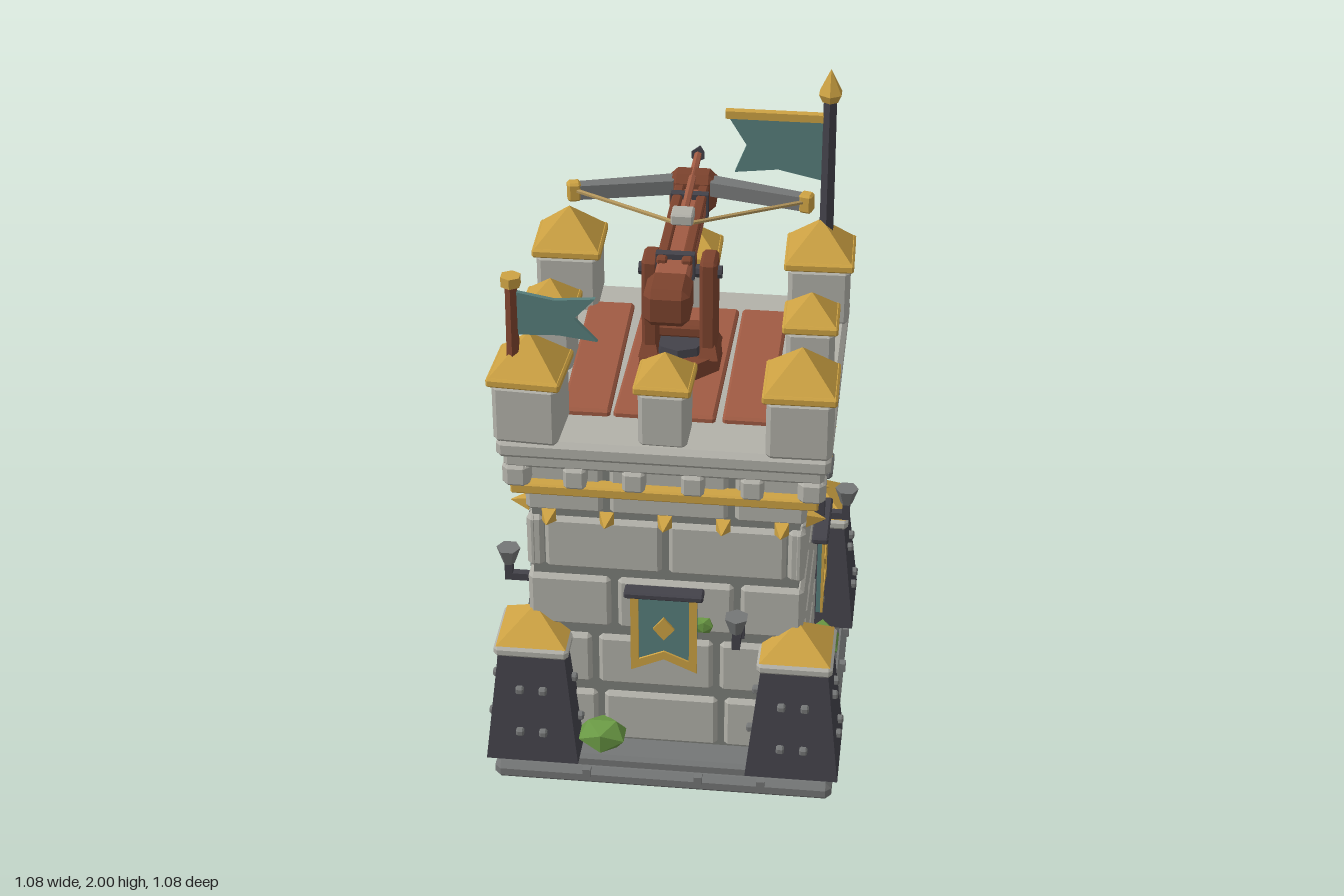
import * as THREE from 'three';
import { ConvexGeometry } from 'three/addons/geometries/ConvexGeometry.js';

const material = (name, color) => Object.assign(new THREE.MeshStandardMaterial({ color }), { name });
const M = {
  stone: material('light stone', 0xb2b1a9),
  mortar: material('mortar', 0x7c7f7a),
  grey: material('grey stone', 0x747676),
  iron: material('dark iron', 0x43424a),
  gold: material('gold', 0xcda243),
  teal: material('teal cloth', 0x587f7c),
  plank: material('red plank', 0xa05b43),
  wood: material('dark wood', 0x7d432e),
  moss: material('moss', 0x6b9a45),
  rope: material('rope', 0xb0935a),
};

export function createModel() {
  const root = new THREE.Group();
  root.name = 'siegeTower';

  // Adds a flat-shaded mesh
  function add(parent, name, geo, mat, x = 0, y = 0, z = 0, ry = 0) {
    const g = geo.index ? geo.toNonIndexed() : geo;
    g.computeVertexNormals();
    const m = new THREE.Mesh(g, mat);
    m.name = name;
    m.position.set(x, y, z);
    m.rotation.y = ry;
    parent.add(m);
    return m;
  }
  // Box with chamfered edges
  function cbox(w, h, d, c = 0.01) {
    const p = [];
    for (const sx of [-1, 1]) for (const sy of [-1, 1]) for (const sz of [-1, 1])
      for (const k of [0, 1, 2]) p.push(new THREE.Vector3(
        sx * (w / 2 - (k === 0 ? 0 : c)), sy * (h / 2 - (k === 1 ? 0 : c)), sz * (d / 2 - (k === 2 ? 0 : c))));
    return new ConvexGeometry(p);
  }
  const box = (w, h, d) => new THREE.BoxGeometry(w, h, d);
  const cyl = (rt, rb, h, n = 8) => new THREE.CylinderGeometry(rt, rb, h, n);
  // Square frustum, given its top and bottom widths
  const frustum = (wt, wb, h) => cyl(wt * Math.SQRT1_2, wb * Math.SQRT1_2, h, 4).rotateY(Math.PI / 4);
  // Flat outline extruded by depth along +z
  const plate = (pts, depth) => new THREE.ExtrudeGeometry(
    new THREE.Shape(pts.map(p => new THREE.Vector2(p[0], p[1]))), { depth, bevelEnabled: false });
  // Round rod between two points
  function rod(parent, name, a, b, r, mat, n = 6) {
    const A = new THREE.Vector3(...a), B = new THREE.Vector3(...b);
    const m = add(parent, name, cyl(r, r, A.distanceTo(B), n), mat);
    m.position.copy(A).lerp(B, 0.5);
    m.quaternion.setFromUnitVectors(new THREE.Vector3(0, 1, 0), B.sub(A).normalize());
  }
  const group = (name, parent = root) => {
    const g = new THREE.Group();
    g.name = name;
    parent.add(g);
    return g;
  };

  // Base and tower core
  add(root, 'basePlinth', cbox(1.03, 0.06, 1.03, 0.018), M.grey, 0, 0.03, 0);
  add(root, 'baseStep', cbox(0.98, 0.05, 0.98, 0.012), M.grey, 0, 0.07, 0);
  add(root, 'towerCore', box(0.785, 1.03, 0.785), M.mortar, 0, 0.6, 0);

  // Details repeated on each wall; local +z points outward
  const rows = [[0.19, -0.015], [0.4, -0.03], [0.61, 0.03], [0.815, 0.182], [1.015, 0.01]];
  for (let i = 0; i < 4; i++) {
    const wall = group(['frontWall', 'leftWall', 'backWall', 'rightWall'][i]);
    wall.rotation.y = i * Math.PI / 2;
    for (const [y, off] of rows) for (let k = -2; k <= 2; k++) {
      const a = Math.max(off + k * 0.365 - 0.172, -0.407), b = Math.min(off + k * 0.365 + 0.172, 0.407);
      if (b - a > 0.03) add(wall, 'brick', cbox(b - a, 0.177, 0.05, 0.012), M.stone, (a + b) / 2, y, 0.384);
    }
    add(wall, 'goldBand', cbox(0.89, 0.034, 0.05, 0.005), M.gold, 0, 1.022, 0.42);
    for (const x of [-0.34, -0.17, 0, 0.17, 0.34])
      add(wall, 'goldStud', frustum(0.002, 0.042, 0.055).rotateX(Math.PI / 2), M.gold, x, 0.915, 0.435);
    for (const x of [-0.425, -0.255, -0.085, 0.085, 0.255, 0.425])
      add(wall, 'corbel', cbox(0.065, 0.07, 0.08, 0.01), M.stone, x, 1.075, 0.425);
    for (const x of [-0.23, 0.11, 0.3]) add(wall, 'baseJoint', box(0.025, 0.03, 0.02), M.grey, x, 0.05, 0.512);

    // Wall torch
    const torch = group('torch', wall);
    torch.position.x = 0.22;
    add(torch, 'torchPlate', box(0.035, 0.08, 0.02), M.iron, 0, 0.565, 0.415);
    add(torch, 'torchArm', box(0.024, 0.024, 0.1), M.iron, 0, 0.56, 0.462);
    add(torch, 'torchStem', box(0.024, 0.07, 0.024), M.iron, 0, 0.583, 0.5);
    add(torch, 'torchBowl', cyl(0.037, 0.018, 0.055, 6), M.grey, 0, 0.632, 0.5);

    // Arrow slit
    if (i !== 0) {
      add(wall, 'arrowSlit', box(0.05, 0.18, 0.05), M.iron, 0, 0.785, 0.418);
      add(wall, 'slitHeader', cbox(0.12, 0.035, 0.08, 0.01), M.grey, 0, 0.882, 0.425);
    }
    // Hanging banner
    if (i !== 2) {
      const banner = group('banner', wall);
      add(banner, 'bannerRod', cbox(0.235, 0.022, 0.05, 0.005), M.iron, 0, 0.68, 0.437);
      add(banner, 'bannerCloth', plate([[-0.098, 0.675], [-0.098, 0.405], [0, 0.45], [0.098, 0.405], [0.098, 0.675]], 0.014), M.teal, 0, 0, 0.43);
      for (const s of [-1, 1]) {
        add(banner, 'bannerEdge', box(0.024, 0.25, 0.008), M.gold, s * 0.087, 0.545, 0.447);
        add(banner, 'bannerHem', plate([[s * 0.099, 0.405], [s * 0.099, 0.435], [0, 0.478], [0, 0.45]], 0.008), M.gold, 0, 0, 0.443);
      }
      add(banner, 'bannerDiamond', plate([[0, 0.52], [0.032, 0.56], [0, 0.6], [-0.032, 0.56]], 0.009), M.gold, 0, 0, 0.443);
    } else {
      // Arched door
      const door = group('door', wall), leaf = new THREE.Shape();
      leaf.moveTo(-0.125, 0.09).lineTo(0.125, 0.09).lineTo(0.125, 0.27).absarc(0, 0.27, 0.125, 0, Math.PI);
      add(door, 'doorLeaf', new THREE.ExtrudeGeometry(leaf, { depth: 0.03, bevelEnabled: false, curveSegments: 8 }), M.plank, 0, 0, 0.397);
      for (const y of [0.18, 0.3]) add(door, 'doorStrap', box(0.21, 0.026, 0.012), M.iron, 0, y, 0.43);
      for (const x of [-0.042, 0.042]) add(door, 'doorGroove', box(0.006, 0.27, 0.004), M.wood, x, 0.23, 0.428);
      for (const s of [-1, 1]) for (const y of [0.138, 0.226])
        add(door, 'jambStone', cbox(0.06, 0.085, 0.07, 0.01), M.stone, s * 0.152, y, 0.415);
      for (let k = 0; k < 7; k++) {
        const a = (k + 0.5) * Math.PI / 7;
        add(door, 'archStone', cbox(0.06, 0.068, 0.07, 0.01), M.stone, Math.cos(a) * 0.152, 0.27 + Math.sin(a) * 0.152, 0.415).rotation.z = a;
      }
    }
  }

  // Corner buttresses with rivets and gold caps
  for (const sx of [-1, 1]) for (const sz of [-1, 1]) {
    const b = group('buttress');
    b.position.set(sx * 0.393, 0, sz * 0.393);
    add(b, 'buttressBody', frustum(0.2, 0.28, 0.365), M.iron, 0, 0.278, 0);
    add(b, 'buttressSlab', cbox(0.225, 0.04, 0.225, 0.012), M.stone, 0, 0.475, 0);
    add(b, 'buttressCap', frustum(0.002, 0.21, 0.088), M.gold, 0, 0.536, 0);
    for (let f = 0; f < 4; f++) {
      const side = group('rivets', b);
      side.rotation.y = f * Math.PI / 2;
      for (const [y, z] of [[0.2, 0.133], [0.345, 0.117]]) for (const x of [-0.035, 0.035])
        add(side, 'rivet', cbox(0.024, 0.024, 0.024, 0.005), M.grey, x, y, z);
    }
  }

  // Roof platform and planks
  add(root, 'platformUnderside', cbox(0.92, 0.06, 0.92, 0.012), M.stone, 0, 1.132, 0);
  add(root, 'platform', cbox(0.955, 0.06, 0.955, 0.015), M.stone, 0, 1.172, 0);
  for (const [x, w, r] of [[-0.245, 0.14, 0.015], [-0.008, 0.295, -0.015], [0.225, 0.14, 0]])
    add(root, 'roofPlank', cbox(w, 0.03, 0.645, 0.008), M.plank, x, 1.207, -0.01, r);

  // Merlons with gold roofs
  for (const ix of [-1, 0, 1]) for (const iz of [-1, 0, 1]) {
    if (!ix && !iz) continue;
    const corner = ix && iz, w = corner ? 0.187 : 0.14, top = corner ? 1.385 : 1.375;
    const m = group('merlon');
    m.position.set(ix * 0.385, 0, iz * 0.39);
    m.rotation.y = (ix - iz) * 0.02 + ix * iz * 0.015;
    add(m, 'merlonBlock', cbox(w, top - 1.195, w, 0.014), M.stone, 0, (top + 1.195) / 2, 0);
    add(m, 'merlonEave', cbox(w + 0.024, 0.028, w + 0.024, 0.006), M.gold, 0, top + 0.012, 0);
    add(m, 'merlonRoof', frustum(0.002, w + 0.012, corner ? 0.105 : 0.075), M.gold, 0, top + 0.024 + (corner ? 0.052 : 0.037), 0);
  }

  // Tall flag
  const tall = group('tallFlag');
  tall.position.set(0.4, 0, -0.4);
  add(tall, 'pole', cyl(0.022, 0.024, 0.47, 6), M.iron, 0, 1.675, 0);
  add(tall, 'poleCollar', cyl(0.038, 0.026, 0.025, 6), M.gold, 0, 1.912, 0);
  add(tall, 'poleTip', cyl(0.001, 0.038, 0.075, 6), M.gold, 0, 1.962, 0);
  add(tall, 'flagRod', box(0.3, 0.024, 0.024), M.gold, -0.16, 1.843, 0);
  add(tall, 'flagCloth', plate([[-0.015, 1.835], [-0.3, 1.835], [-0.245, 1.745], [-0.28, 1.655], [-0.15, 1.67], [-0.015, 1.64]], 0.016), M.teal, 0, 0, -0.008);

  // Small flag
  const small = group('smallFlag');
  small.position.set(-0.425, 0, 0.42);
  add(small, 'pole', cyl(0.018, 0.02, 0.25, 6), M.wood, 0, 1.56, 0);
  add(small, 'poleCap', cyl(0.03, 0.03, 0.03, 6), M.gold, 0, 1.693, 0);
  add(small, 'flagCloth', plate([[0.01, 1.66], [0.12, 1.64], [0.235, 1.65], [0.175, 1.585], [0.24, 1.515], [0.13, 1.53], [0.01, 1.525]], 0.014), M.teal, 0, 0, -0.007);

  // Ballista stand
  const bal = group('ballista');
  add(bal, 'turntable', cyl(0.125, 0.13, 0.05).rotateY(Math.PI / 8), M.wood, 0, 1.245, 0);
  add(bal, 'turntableDisc', cyl(0.075, 0.08, 0.03), M.iron, 0, 1.28, 0);
  for (const s of [-1, 1]) {
    add(bal, 'standPost', cbox(0.05, 0.31, 0.1, 0.01), M.wood, s * 0.085, 1.42, 0);
    add(bal, 'standFoot', frustum(0.06, 0.12, 0.05).scale(0.5, 1, 1.2), M.wood, s * 0.088, 1.29, 0);
  }
  add(bal, 'standCrossbar', cbox(0.15, 0.04, 0.05, 0.008), M.wood, 0, 1.33, 0);
  rod(bal, 'axle', [-0.122, 1.525, 0], [0.122, 1.525, 0], 0.02, M.iron, 8);
  add(bal, 'pivotBlock', cbox(0.09, 0.09, 0.08, 0.01), M.wood, 0, 1.55, 0);

  // Ballista stock with rails, butt and head
  add(bal, 'stock', cbox(0.1, 0.055, 0.6, 0.01), M.plank, 0, 1.608, -0.04);
  for (const s of [-1, 1]) add(bal, 'stockRail', cbox(0.03, 0.02, 0.5, 0.005), M.wood, s * 0.036, 1.64, -0.08);
  add(bal, 'stockButt', cbox(0.13, 0.115, 0.14, 0.022), M.wood, 0, 1.595, 0.305);
  add(bal, 'stockHead', cbox(0.14, 0.125, 0.09, 0.022), M.wood, 0, 1.612, -0.345);
  for (const z of [0.133, -0.246]) add(bal, 'stockBand', box(0.112, 0.08, 0.026), M.iron, 0, 1.612, z);

  // Bow arms, string and bolt
  for (const s of [-1, 1]) {
    const arm = plate([[s * 0.055, -0.355], [s * 0.355, -0.265], [s * 0.34, -0.232], [s * 0.055, -0.3]], 0.045).rotateX(Math.PI / 2);
    add(bal, 'bowArm', arm, M.grey, 0, 1.66, 0);
    add(bal, 'bowTip', cbox(0.04, 0.06, 0.04, 0.007), M.gold, s * 0.347, 1.64, -0.246, s * -0.25);
    rod(bal, 'bowString', [s * 0.345, 1.645, -0.24], [s * 0.03, 1.655, -0.05], 0.007, M.rope);
  }
  add(bal, 'boltCradle', cbox(0.065, 0.035, 0.065, 0.005), M.stone, 0, 1.672, -0.057);
  rod(bal, 'boltShaft', [0, 1.665, -0.03], [0, 1.665, -0.48], 0.012, M.plank);
  add(bal, 'boltTip', cyl(0.001, 0.023, 0.065, 6).rotateX(-Math.PI / 2), M.iron, 0, 1.665, -0.507);

  // Moss clumps: position then half sizes
  const clumps = [
    [-0.19, 0.145, 0.44, 0.075, 0.055, 0.06], [0.44, 0.145, -0.105, 0.06, 0.055, 0.085],
    [-0.44, 0.145, -0.135, 0.06, 0.05, 0.105], [-0.22, 0.13, -0.43, 0.06, 0.045, 0.06],
    [0.432, 1.0, 0.16, 0.024, 0.034, 0.065], [0.115, 0.555, 0.41, 0.03, 0.03, 0.014],
  ];
  for (const [x, y, z, a, b, c] of clumps)
    add(root, 'moss', new THREE.IcosahedronGeometry(1.08, 0).scale(a, b, c), M.moss, x, y, z);

  return root;
}
